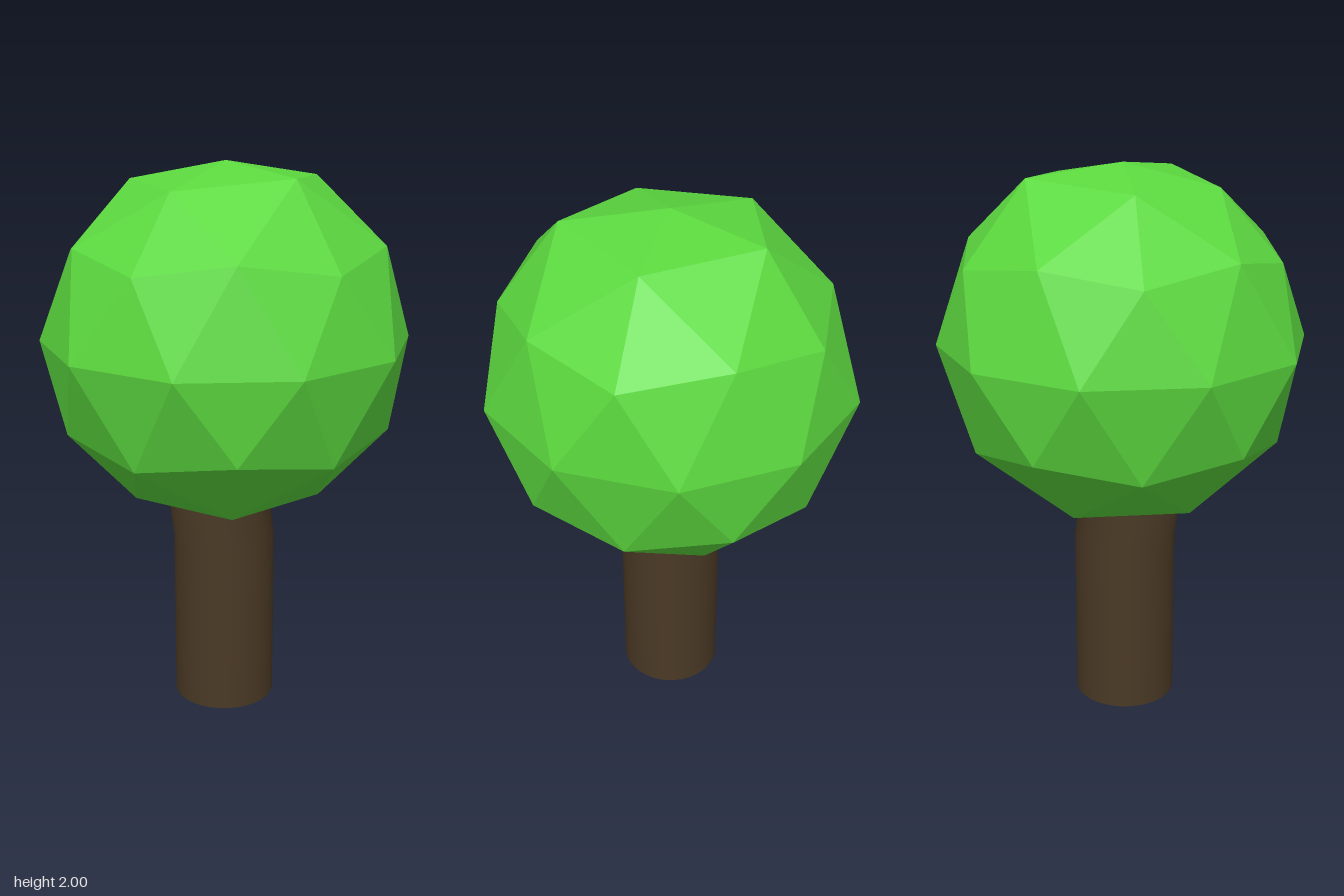
import * as THREE from 'three';
import { ConvexGeometry } from 'three/addons/geometries/ConvexGeometry.js';

const leafGreen = new THREE.MeshStandardMaterial({ color: 0x5cd93f, flatShading: true });
leafGreen.name = 'leafGreen';
const barkBrown = new THREE.MeshStandardMaterial({ color: 0x4a3925 });
barkBrown.name = 'barkBrown';

// Faceted ball: rings of a once-subdivided icosahedron with a slightly dented crown
function makeFoliage() {
  const R = 0.66;
  const points = [new THREE.Vector3(0, 0.62, 0), new THREE.Vector3(0, -R, 0)];
  const ring = (height, count, startDeg, tweak = []) => {
    for (let i = 0; i < count; i++) {
      const a = THREE.MathUtils.degToRad(startDeg + (i * 360) / count);
      const r = R * Math.sqrt(1 - height * height);
      const [dy, scale] = tweak[i] || [0, 1];
      points.push(new THREE.Vector3(Math.cos(a) * r * scale, R * height + dy, Math.sin(a) * r * scale));
    }
  };
  // crown, upper ring and the midpoints between its corners
  ring(0.851, 5, 0, [[0.02, 1.03], [-0.02, 0.97], [-0.01, 1], [0.02, 1.02], [0, 1]]);
  ring(0.447, 5, 0, [[0, 0.97], [0, 0.94], [0, 0.98], [0, 0.98], [0.01, 1.02]]);
  ring(0.526, 5, 36, [[0, 1], [0, 0.98], [-0.01, 0.96], [0, 1], [0, 1]]);
  // equator
  ring(0, 10, 18);
  // lower half, turned by half a step
  ring(-0.526, 5, 0);
  ring(-0.447, 5, 36);
  ring(-0.851, 5, 36);

  const foliage = new THREE.Mesh(new ConvexGeometry(points), leafGreen);
  foliage.name = 'foliage';
  foliage.position.y = 1.382;
  return foliage;
}

// Round trunk whose top leans towards the front
function makeTrunk() {
  const height = 0.96;
  const geometry = new THREE.CylinderGeometry(0.187, 0.187, height, 32, 6);
  geometry.translate(0, height / 2, 0.008);
  const pos = geometry.attributes.position;
  for (let i = 0; i < pos.count; i++) {
    const lean = Math.max(0, pos.getY(i) - 0.64);
    pos.setZ(i, pos.getZ(i) + lean * 0.14);
  }
  const trunk = new THREE.Mesh(geometry, barkBrown);
  trunk.name = 'trunk';
  return trunk;
}

export function createModel() {
  const tree = new THREE.Group();
  tree.name = 'tree';
  tree.add(makeTrunk(), makeFoliage());
  return tree;
}
